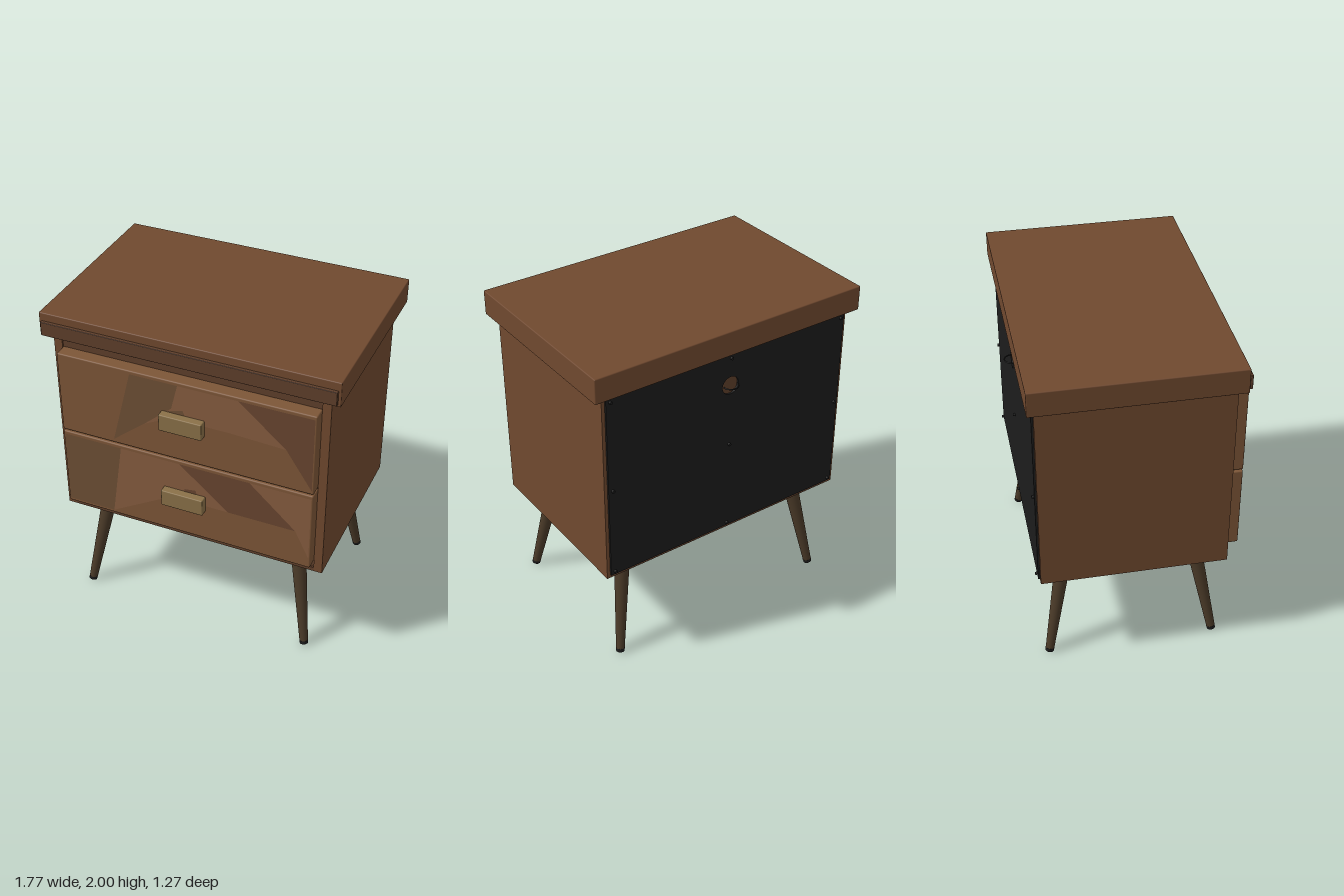
import * as THREE from 'three';
import { RoundedBoxGeometry } from 'three/addons/geometries/RoundedBoxGeometry.js';

const mat = (color) => new THREE.MeshStandardMaterial({ color });
const wood = mat(0x70492f), rail = mat(0x5f3f2b), front = mat(0x7d5637);
const legWood = mat(0x4a3a28), black = mat(0x1c1c1c), brass = mat(0x8a7148);
const veneer = {
  dark: mat(0x694630), mid: mat(0x6e4f35), light: mat(0x865c3f),
};

export function createModel() {
  const model = new THREE.Group();

  const add = (name, geometry, material, parent = model) => {
    const mesh = new THREE.Mesh(geometry, material);
    mesh.name = name;
    parent.add(mesh);
    return mesh;
  };

  // Box given by its limits on each axis, with optional rounded edges
  const box = (name, [x0, x1], [y0, y1], [z0, z1], material, radius = 0, parent = model) => {
    const size = [x1 - x0, y1 - y0, z1 - z0];
    const geometry = radius
      ? new RoundedBoxGeometry(...size, 2, radius)
      : new THREE.BoxGeometry(...size);
    const mesh = add(name, geometry, material, parent);
    mesh.position.set((x0 + x1) / 2, (y0 + y1) / 2, (z0 + z1) / 2);
    return mesh;
  };

  // Table top with a thin raised strip along its front
  box('top', [-0.886, 0.886], [1.85, 2], [-0.617, 0.555], wood, 0.006);
  box('topFrontStrip', [-0.87, 0.87], [1.865, 1.95], [0.55, 0.575], rail, 0.004);

  // Carcass: two sides around a slightly recessed core
  for (const s of [-1, 1]) {
    const xs = [s * 0.775, s * 0.826].sort((a, b) => a - b);
    box('sidePanel', xs, [0.645, 1.85], [-0.575, 0.515], wood);
  }
  box('carcassCore', [-0.775, 0.775], [0.66, 1.85], [-0.57, 0.505], rail);
  box('bottomPanel', [-0.775, 0.775], [0.645, 0.67], [-0.575, 0.515], rail);

  // Veneer patches: [tone, outline corners relative to the drawer's centre]
  const upperPatches = [
    ['mid', [[-0.32, 0.24], [-0.03, 0.24], [-0.07, 0.08], [-0.24, -0.07], [-0.44, -0.235]]],
    ['light', [[-0.03, 0.24], [0.33, 0.24], [0.61, 0.0], [0.28, 0.015], [-0.07, 0.015], [-0.24, -0.07], [-0.07, 0.08]]],
    ['dark', [[0.33, 0.24], [0.765, 0.24], [0.765, -0.235], [0.61, 0.0]]],
    ['mid', [[-0.09, 0.06], [0, 0.085], [0.02, 0.03], [-0.06, -0.07], [-0.09, -0.02]]],
  ];
  const lowerPatches = [
    ['mid', [[-0.765, 0.24], [-0.4, 0.24], [-0.47, -0.24], [-0.765, -0.24]]],
    ['light', [[-0.4, 0.24], [-0.03, 0.24], [0.27, -0.015], [0.1, -0.015], [-0.13, -0.04], [-0.47, -0.24]]],
    ['dark', [[-0.03, 0.24], [0.4, 0.24], [0.68, -0.015], [0.27, -0.015]]],
    ['light', [[0.4, 0.24], [0.765, 0.24], [0.765, -0.19], [0.68, -0.015]]],
    ['dark', [[0, 0.07], [0.07, 0.08], [0.1, -0.05], [0.01, -0.085], [-0.02, -0.05]]],
  ];

  // Two drawers with patterned fronts and block handles
  const addDrawer = (name, y, patches) => {
    const drawer = new THREE.Group();
    drawer.name = name;
    drawer.position.y = y;
    model.add(drawer);
    box('drawerFront', [-0.775, 0.775], [-0.26, 0.26], [0.503, 0.588], front, 0.008, drawer);
    patches.forEach(([tone, corners], i) => {
      const shape = new THREE.Shape(corners.map((c) => new THREE.Vector2(...c)));
      add('veneerPatch', new THREE.ShapeGeometry(shape), veneer[tone], drawer)
        .position.z = 0.5892 + i * 0.0004;
    });
    box('handle', [-0.13, 0.13], [-0.053, 0.053], [0.585, 0.637], brass, 0.006, drawer);
  };
  addDrawer('upperDrawer', 1.519, upperPatches);
  addDrawer('lowerDrawer', 0.987, lowerPatches);

  // Splayed, tapered legs with dark feet
  const up = new THREE.Vector3(0, 1, 0);
  const addLeg = (x, zTop, zFoot) => {
    const head = new THREE.Vector3(x * 0.62, 0.66, zTop);
    const foot = new THREE.Vector3(x * 0.727, 0.005, zFoot);
    const axis = head.clone().sub(foot);
    const length = axis.length();
    const leg = new THREE.Group();
    leg.name = 'leg';
    leg.position.copy(foot);
    leg.quaternion.setFromUnitVectors(up, axis.normalize());
    add('legShaft', new THREE.CylinderGeometry(0.048, 0.026, length - 0.02, 24), legWood, leg)
      .position.y = length / 2 + 0.01;
    add('footCap', new THREE.CylinderGeometry(0.027, 0.025, 0.022, 24), black, leg)
      .position.y = 0.011;
    model.add(leg);
  };
  for (const s of [-1, 1]) {
    addLeg(s, 0.355, 0.475);
    addLeg(s, -0.41, -0.53);
  }

  // Thin back panel with a round cable hole
  const holeY = 1.64;
  const panel = new THREE.Shape([
    [-0.806, 0.668], [0.806, 0.668], [0.806, 1.85], [-0.806, 1.85],
  ].map((c) => new THREE.Vector2(...c)));
  panel.holes.push(new THREE.Path().absarc(0, holeY, 0.055, 0, Math.PI * 2, true));
  const panelGeometry = new THREE.ExtrudeGeometry(panel, {
    depth: 0.012, bevelEnabled: false, curveSegments: 20,
  });
  add('backPanel', panelGeometry, black).position.z = -0.587;

  // Slim arched loop over the cable hole
  const loop = add('cableLoop', new THREE.TorusGeometry(0.045, 0.004, 8, 20, Math.PI), black);
  loop.rotation.x = -Math.PI / 2;
  loop.position.set(0, holeY, -0.586);

  // Screws around the edge of the back panel
  for (const x of [-0.78, 0, 0.78]) {
    for (const y of [0.69, 1.25, 1.815]) {
      const screw = add('screw', new THREE.CylinderGeometry(0.009, 0.009, 0.016, 12), black);
      screw.rotation.x = Math.PI / 2;
      screw.position.set(x, y, -0.592);
    }
  }

  return model;
}
